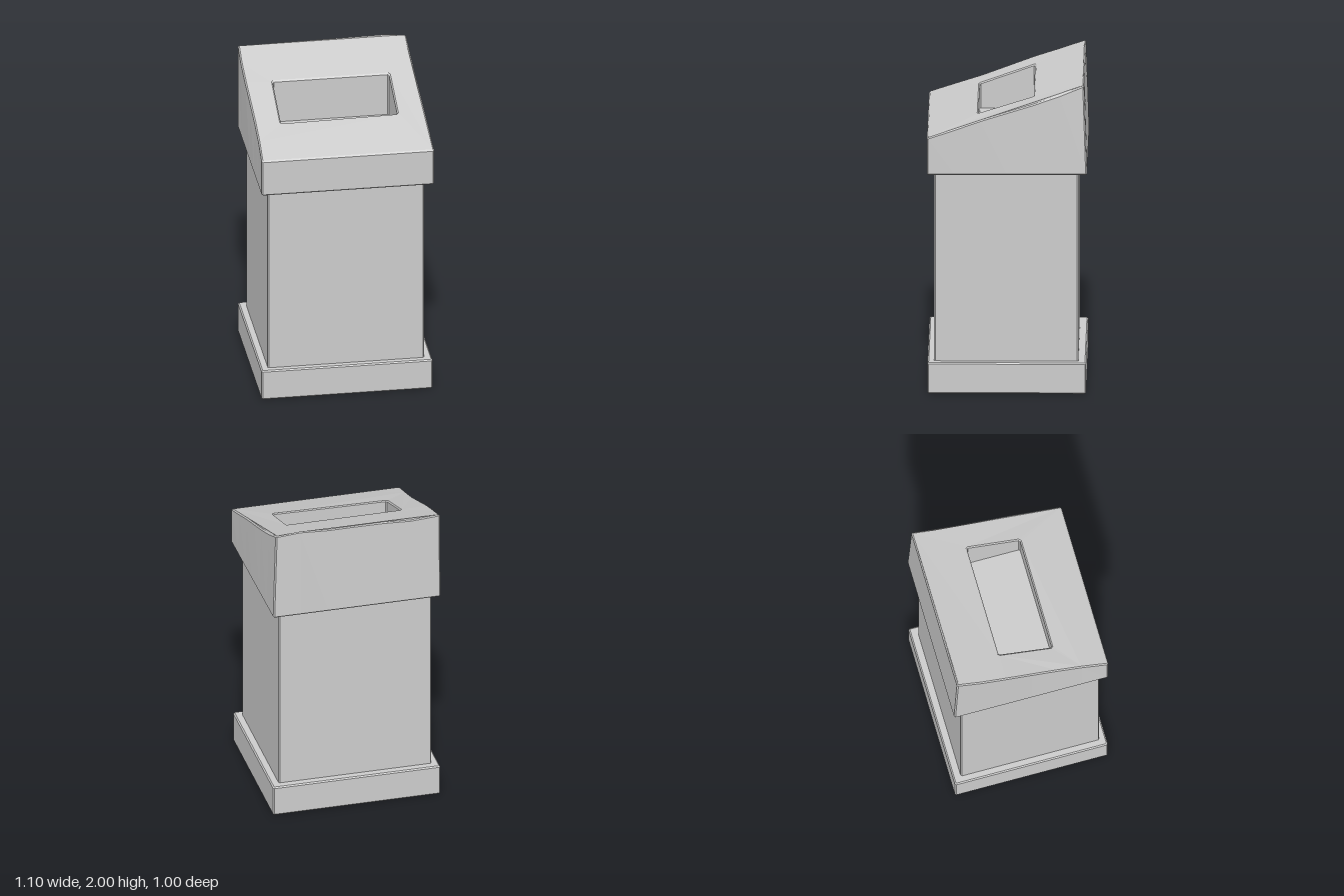
import * as THREE from 'three';

const BEVEL = 0.008;

// Chamfered rectangle in plan; sides split into n pieces (shape y is -z)
function outline(target, x0, x1, z0, z1, n = 1) {
  const c = 0.008;
  const a = -z1, b = -z0;
  const sides = [
    [x0 + c, a, x1 - c, a], [x1, a + c, x1, b - c],
    [x1 - c, b, x0 + c, b], [x0, b - c, x0, a + c],
  ];
  const pts = [];
  for (const [sx, sy, ex, ey] of sides)
    for (let i = 0; i <= n; i++)
      pts.push(new THREE.Vector2(sx + (ex - sx) * i / n, sy + (ey - sy) * i / n));
  target.setFromPoints(pts);
  return target;
}

// Upright block with bevelled edges, standing between y = 0 and y = height
function block(shape, height) {
  const g = new THREE.ExtrudeGeometry(shape, {
    depth: height - 2 * BEVEL, bevelEnabled: true, bevelSegments: 1,
    bevelSize: BEVEL, bevelThickness: BEVEL, bevelOffset: -BEVEL,
  });
  g.translate(0, 0, BEVEL);
  g.rotateX(-Math.PI / 2);
  return g;
}

export function createModel() {
  const group = new THREE.Group();
  const material = new THREE.MeshStandardMaterial({ color: 0xcccccc, flatShading: true });
  const add = (name, geometry, y = 0) => {
    const mesh = new THREE.Mesh(geometry, material);
    mesh.name = name;
    mesh.position.y = y;
    group.add(mesh);
  };

  // Plinth and bin body
  add('base', block(outline(new THREE.Shape(), -0.545, 0.535, -0.495, 0.497), 0.2));
  add('body', block(outline(new THREE.Shape(), -0.5, 0.487, -0.445, 0.455), 1.26), 0.18);

  // Sloping lid with a rectangular opening
  const lidShape = outline(new THREE.Shape(), -0.545, 0.545, -0.5, 0.5, 6);
  lidShape.holes.push(outline(new THREE.Path(), -0.375, 0.36, -0.165, 0.18));
  const lid = block(lidShape, 1);
  const p = lid.attributes.position;
  for (let i = 0; i < p.count; i++) {
    let x = p.getX(i), y = p.getY(i), z = p.getZ(i);
    if (y > 0.5) {
      // Tilt the top, with slight hand-made waviness, and lean the sides in
      const back = 0.5 - z;
      const wave = 0.006 * back * Math.cos(x * 14 + 1.5) + 0.004 * Math.sin(z * 9) * Math.sign(x);
      const edge = Math.abs(x) > 0.45 ? 1 : 0;
      y += 0.66 + 0.337 * back + (z > 0.45 ? 0 : wave);
      if (edge) x -= x > 0 ? 0.03 * back : -0.006 * Math.sin(back * 6);
      if (z < -0.4) z += 0.018;
    } else {
      y += 1.42;
      if (x > 0.45) x -= 0.01 * (0.5 - z);
    }
    p.setXYZ(i, x, y, z);
  }
  lid.computeVertexNormals();
  add('lid', lid);

  // Floor of the opening
  const floor = new THREE.BoxGeometry(0.735, 0.18, 0.345);
  floor.translate(-0.0075, 1.51, 0.0075);
  add('openingFloor', floor);

  return group;
}
